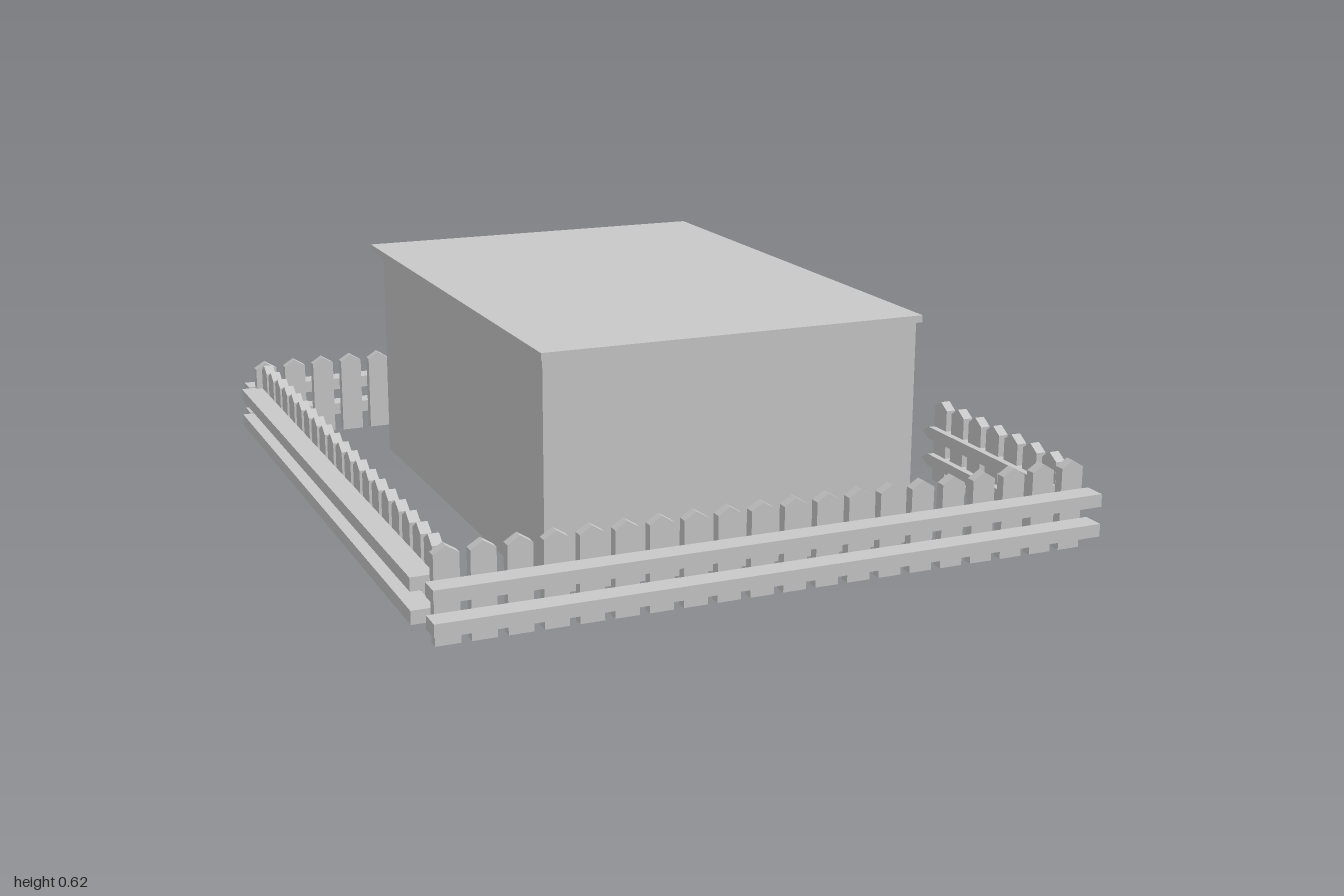
import * as THREE from 'three';

const paint = new THREE.MeshStandardMaterial({ color: 0xc8c8c8 });
paint.name = 'plain grey';

function add(parent, name, geometry) {
  const mesh = new THREE.Mesh(geometry, paint);
  mesh.name = name;
  parent.add(mesh);
  return mesh;
}

// Box given by its lower and upper limits on each axis
function block(parent, name, [x0, x1], [y0, y1], [z0, z1]) {
  const mesh = add(parent, name, new THREE.BoxGeometry(x1 - x0, y1 - y0, z1 - z0));
  mesh.position.set((x0 + x1) / 2, (y0 + y1) / 2, (z0 + z1) / 2);
  return mesh;
}

function outline(points, Type = THREE.Shape) {
  return new Type(points.map(([x, y]) => new THREE.Vector2(x, y)));
}

function rect(x0, x1, y0, y1) {
  return [[x0, y0], [x1, y0], [x1, y1], [x0, y1]];
}

function extrude(shape, depth) {
  return new THREE.ExtrudeGeometry(shape, { depth, bevelEnabled: false });
}

// Pointed picket, centred on its width and thickness
const PICKET_DEPTH = 0.028;
const picket = extrude(outline([
  [-0.032, 0.004], [0.032, 0.004], [0.032, 0.228], [0, 0.248], [-0.032, 0.228],
]), PICKET_DEPTH).translate(0, 0, -PICKET_DEPTH / 2);

const RAILS = [[0.05, 0.085], [0.132, 0.167]];

// Long fence along local x: rails outside (+z), pickets inside
function longFence(parent, name) {
  const fence = new THREE.Group();
  fence.name = name;
  for (const y of RAILS) block(fence, 'rail', [-0.91, 0.91], y, [0, 0.062]);
  for (let i = 0; i < 20; i++) {
    add(fence, 'picket', picket).position.set((i - 9.5) * 0.0903, 0, -PICKET_DEPTH / 2);
  }
  parent.add(fence);
  return fence;
}

// Short fence beside the gateway: rails pointed at the gate end, pickets through the middle
function gateFence(parent, name, outer, tip, firstPicket, count) {
  const fence = new THREE.Group();
  fence.name = name;
  const inward = Math.sign(tip - outer);
  const shoulder = tip - inward * 0.033;
  for (const [y0, y1] of RAILS) {
    // profile runs along -z, extruded along +x
    const profile = [[-outer, y0], [-shoulder, y0], [-tip, (y0 + y1) / 2], [-shoulder, y1], [-outer, y1]];
    const rail = add(fence, 'rail', extrude(outline(profile), 0.066).rotateY(Math.PI / 2));
    rail.position.x = 0.834;
  }
  for (let i = 0; i < count; i++) {
    const p = add(fence, 'picket', picket);
    p.rotation.y = Math.PI / 2;
    p.position.set(0.867, 0, firstPicket + inward * i * 0.0905);
  }
  parent.add(fence);
}

function buildHouse(parent) {
  const house = new THREE.Group();
  house.name = 'house';
  parent.add(house);

  block(house, 'floor', [-0.528, 0.509], [0, 0.02], [-0.663, 0.716]);
  block(house, 'roof', [-0.537, 0.518], [0.606, 0.625], [-0.773, 0.732]);
  block(house, 'frontWall', [-0.528, 0.509], [0, 0.606], [0.69, 0.716]);
  block(house, 'backWall', [-0.528, 0.509], [0, 0.606], [-0.663, -0.645]);
  block(house, 'sideWall', [-0.528, -0.503], [0.02, 0.606], [-0.645, 0.69]);
  block(house, 'roofBracket', [-0.528, 0.509], [0.592, 0.606], [-0.678, -0.663]);

  // Glazed side: wall with a wide doorway and a row of high window openings
  const wall = outline(rect(-0.69, 0.645, 0, 0.606));
  wall.holes.push(outline(rect(-0.163, 0.635, 0.025, 0.445), THREE.Path));
  const windows = [[0.15, -0.037], [-0.055, -0.198], [-0.212, -0.353], [-0.37, -0.51], [-0.527, -0.64]];
  for (const [a, b] of windows) {
    wall.holes.push(outline(rect(-a, -b, 0.495, 0.57), THREE.Path));
  }
  const glazed = add(house, 'glazedWall', extrude(wall, 0.025).rotateY(Math.PI / 2));
  glazed.position.x = 0.472;

  // Trim above the solid panel and doorway
  block(house, 'headerPanel', [0.497, 0.503], [0.467, 0.585], [0.163, 0.69]);
  block(house, 'lintel', [0.497, 0.507], [0.465, 0.48], [-0.645, 0.163]);
  block(house, 'topBeam', [0.497, 0.507], [0.585, 0.606], [-0.645, 0.69]);

  // Door posts standing in the opening
  block(house, 'doorPost', [0.472, 0.49], [0.02, 0.447], [-0.2, -0.128]);
  block(house, 'doorPost', [0.478, 0.497], [0.02, 0.447], [-0.287, -0.219]);
}

export function createModel() {
  const model = new THREE.Group();
  model.name = 'fencedHouse';
  buildHouse(model);

  longFence(model, 'frontFence').position.set(0.009, 0, 0.936);
  const back = longFence(model, 'backFence');
  back.rotation.y = Math.PI;
  back.position.set(0.009, 0, -0.938);
  const side = longFence(model, 'sideFence');
  side.rotation.y = -Math.PI / 2;
  side.position.set(-0.864, 0, -0.015);

  gateFence(model, 'gateFenceFront', 0.886, 0.243, 0.85, 7);
  gateFence(model, 'gateFenceBack', -0.912, -0.27, -0.863, 6);
  return model;
}
